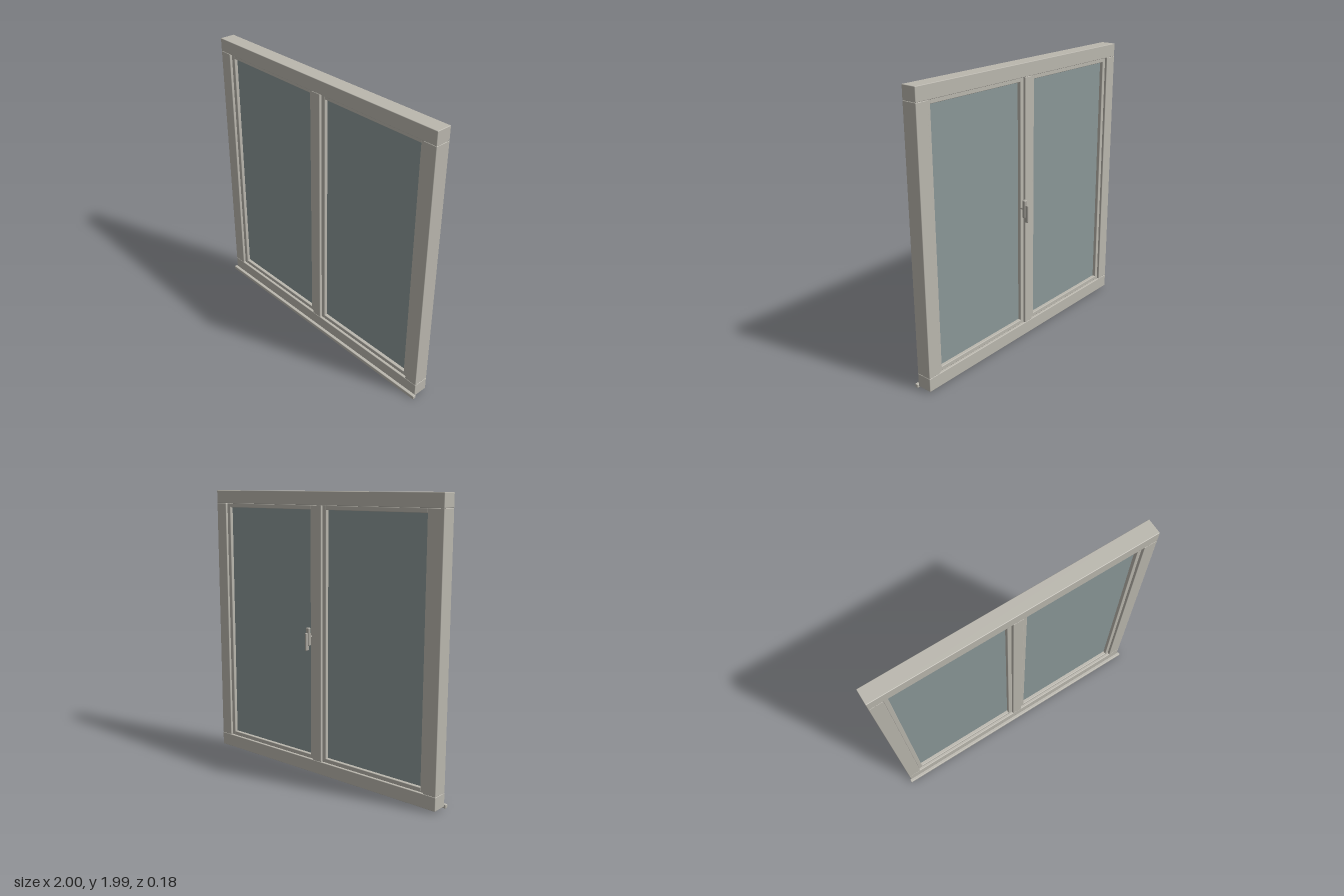
import * as THREE from 'three';
import { RoundedBoxGeometry } from 'three/addons/geometries/RoundedBoxGeometry.js';

export function createModel() {
  const model = new THREE.Group();
  model.name = 'casementWindow';

  const frameMat = new THREE.MeshStandardMaterial({ color: 0xbab7ae });
  frameMat.name = 'warm grey frame';
  const glassMat = new THREE.MeshStandardMaterial({ color: 0x8a9797 });
  glassMat.name = 'blue grey glass';
  const handleMat = new THREE.MeshStandardMaterial({ color: 0xaaa79f });
  handleMat.name = 'grey handle';

  // Softly rounded bar given by its extents on each axis
  function bar(parent, name, [x0, x1], [y0, y1], [z0, z1], material = frameMat, radius = 0.004) {
    const geometry = radius > 0
      ? new RoundedBoxGeometry(x1 - x0, y1 - y0, z1 - z0, 2, radius)
      : new THREE.BoxGeometry(x1 - x0, y1 - y0, z1 - z0);
    const mesh = new THREE.Mesh(geometry, material);
    mesh.position.set((x0 + x1) / 2, (y0 + y1) / 2, (z0 + z1) / 2);
    mesh.name = name;
    parent.add(mesh);
    return mesh;
  }

  // Outer frame
  const depth = [-0.043, 0.067];
  const frame = new THREE.Group();
  frame.name = 'outerFrame';
  model.add(frame);
  bar(frame, 'topRail', [-0.99, 0.99], [1.9, 1.993], depth);
  bar(frame, 'bottomRail', [-0.99, 0.99], [0.012, 0.107], depth);
  bar(frame, 'rightStile', [-0.99, -0.896], [0.107, 1.9], depth);
  bar(frame, 'leftStile', [0.896, 0.99], [0.107, 1.9], depth);
  bar(frame, 'mullion', [-0.038, 0.038], [0.107, 1.9], depth);

  // Drip sill along the front foot
  bar(model, 'sill', [-1, 1], [0, 0.026], [0.066, 0.09]);

  // Two recessed sashes with their panes
  const sashDepth = [-0.028, 0.05];
  for (const side of [-1, 1]) {
    const sash = new THREE.Group();
    sash.name = side > 0 ? 'leftSash' : 'rightSash';
    model.add(sash);
    const span = (a, b) => (side > 0 ? [a, b] : [-b, -a]);
    bar(sash, 'sashInnerStile', span(0.038, 0.07), [0.107, 1.9], sashDepth);
    bar(sash, 'sashOuterStile', span(0.865, 0.896), [0.107, 1.9], sashDepth);
    bar(sash, 'sashTopRail', span(0.068, 0.867), [1.87, 1.9], sashDepth);
    bar(sash, 'sashBottomRail', span(0.068, 0.867), [0.107, 0.137], sashDepth);
    bar(sash, 'glassPane', span(0.067, 0.868), [0.134, 1.873], [-0.004, 0.026], glassMat, 0);
  }

  // Handle on the back of the left sash
  const handle = new THREE.Group();
  handle.name = 'handle';
  model.add(handle);
  bar(handle, 'handleBase', [0.048, 0.078], [0.938, 1.067], [-0.072, -0.046], handleMat, 0.008);
  bar(handle, 'handleLever', [0.056, 0.07], [0.907, 1.032], [-0.09, -0.06], handleMat, 0.005);
  const spindle = new THREE.Mesh(new THREE.CylinderGeometry(0.007, 0.007, 0.025, 16), handleMat);
  spindle.name = 'handleSpindle';
  spindle.rotation.x = Math.PI / 2;
  spindle.position.set(0.0625, 1.0, -0.038);
  handle.add(spindle);

  return model;
}
